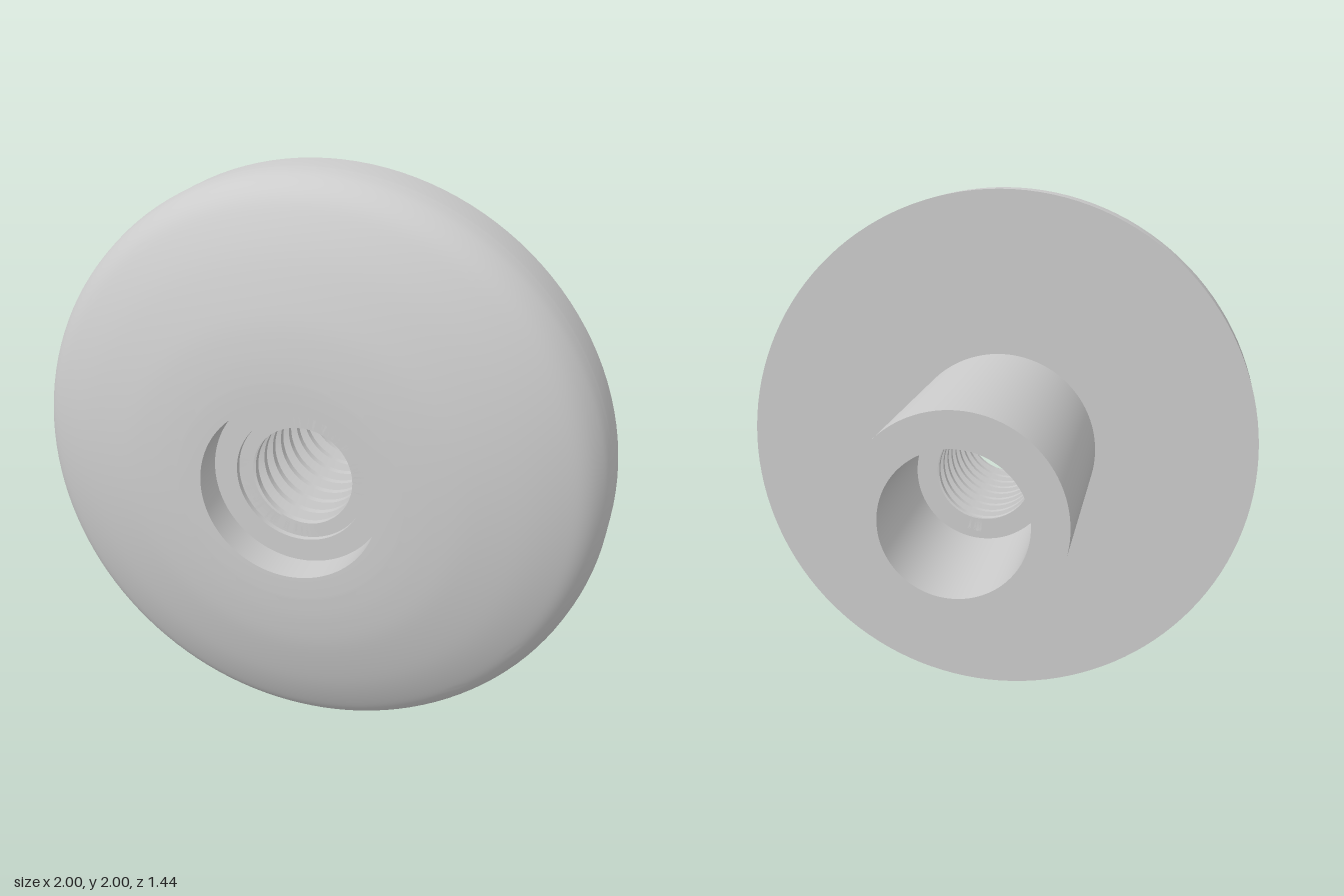
import * as THREE from 'three';
import { toCreasedNormals } from 'three/addons/utils/BufferGeometryUtils.js';

const SEGMENTS = 128;
const THREAD = { front: 0.58, back: -0.1, pitch: 0.08, crest: 0.175, root: 0.225 };

const vec = (r, z) => new THREE.Vector2(r, z);

// Revolve a (radius, z) profile around the z axis
function revolve(points) {
  return new THREE.LatheGeometry(points, SEGMENTS).rotateX(Math.PI / 2);
}

// Helical internal thread: a zigzag profile pushed along z by one pitch per turn
function threadGeometry() {
  const { front, back, pitch, crest, root } = THREAD;
  const points = [];
  const turns = Math.ceil((front - back) / pitch) + 1;
  for (let i = turns; i >= -1; i--) {
    const z = back + i * pitch;
    points.push(
      vec(root, z + 0.95 * pitch), vec(root, z + 0.65 * pitch),
      vec(crest, z + 0.45 * pitch), vec(crest, z + 0.15 * pitch)
    );
  }
  const geometry = revolve(points);
  const pos = geometry.attributes.position;
  const rows = points.length;
  for (let i = 0; i < pos.count; i++) {
    const turn = Math.floor(i / rows) / SEGMENTS;
    // the sweep runs from -y towards +x, counter-clockwise seen from the front
    const z = pos.getZ(i) + (turn - 1) * pitch;
    pos.setZ(i, THREE.MathUtils.clamp(z, back, front));
  }
  return toCreasedNormals(geometry, 0.5);
}

export function createModel() {
  const group = new THREE.Group();
  const material = new THREE.MeshStandardMaterial({ color: 0xcccccc });
  const threadMaterial = new THREE.MeshStandardMaterial({ color: 0xcccccc, side: THREE.DoubleSide });

  function add(name, geometry, mat = material) {
    const mesh = new THREE.Mesh(geometry, mat);
    mesh.name = name;
    mesh.position.y = 1;
    group.add(mesh);
  }

  // Sleeve: shoulder behind the thread, plain rear bore, end face, outer wall
  add('sleeve', toCreasedNormals(revolve([
    vec(THREAD.root, THREAD.back), vec(0.25, THREAD.back),
    vec(0.25, -0.72), vec(0.375, -0.72), vec(0.375, 0.28)
  ]), 0.5));

  // Domed head: flat back, short rim, rounded shoulder, crowned face, counterbore
  const dome = new THREE.SplineCurve([
    vec(1, 0.41), vec(0.985, 0.475), vec(0.945, 0.54), vec(0.88, 0.587),
    vec(0.76, 0.642), vec(0.6, 0.69), vec(0.48, 0.711), vec(0.38, 0.72)
  ]).getPoints(40);
  add('domedHead', toCreasedNormals(revolve([
    vec(0.375, 0.28), vec(1, 0.28), ...dome,
    vec(0.305, 0.72), vec(0.305, 0.6),
    vec(THREAD.root, 0.6), vec(THREAD.root, THREAD.front)
  ]), 0.5));

  // Threaded hole
  add('internalThread', threadGeometry(), threadMaterial);

  return group;
}
